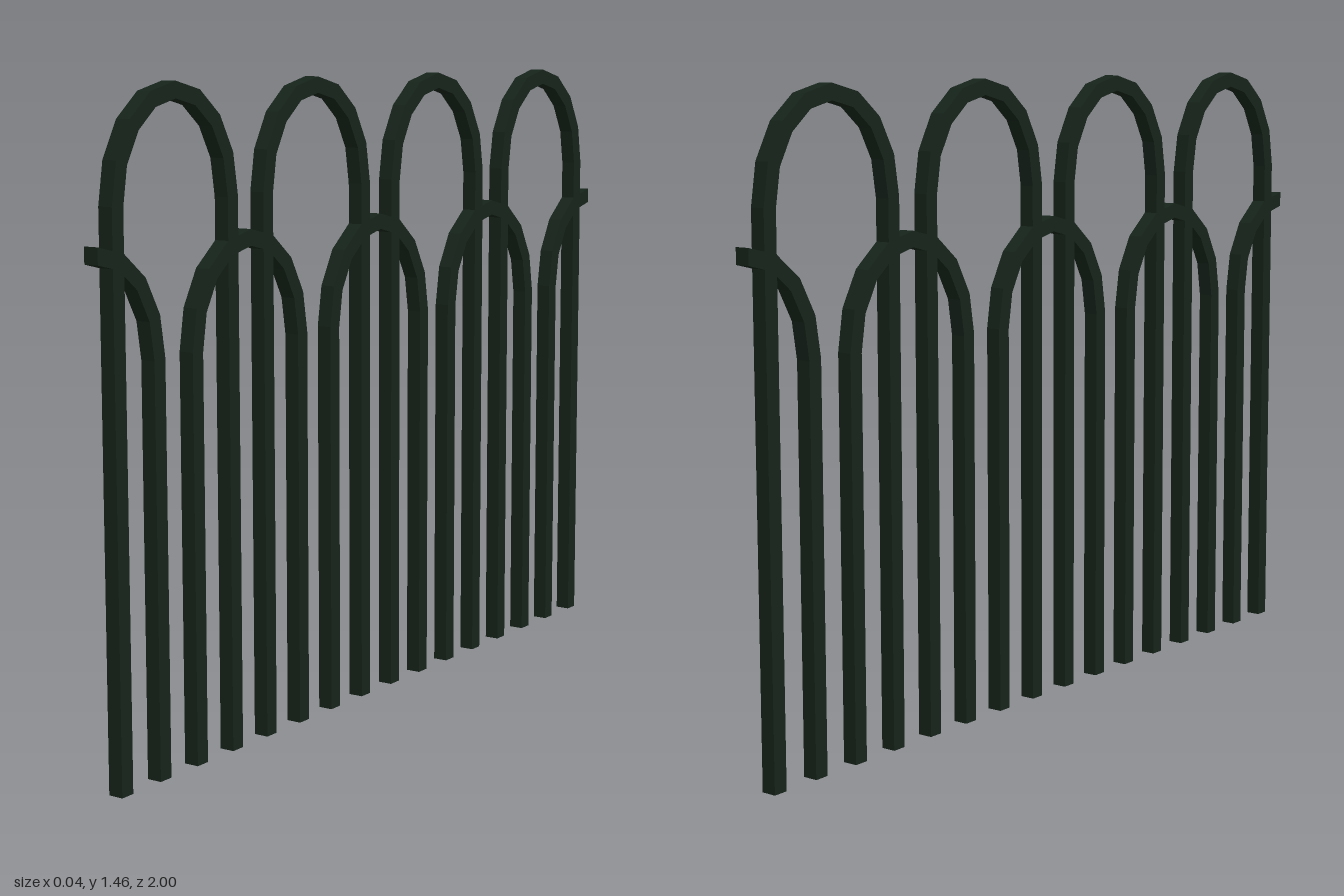
import * as THREE from 'three';

const BAR = 0.035;      // square bar thickness
const RADIUS = 0.1875;  // half width of a hoop
const RISE = 0.2275;    // height of the curved top
const SEGMENTS = 8;

// Hoop centre line: leg, faceted elliptical top, leg
function hoopPath(spring) {
  const pts = [new THREE.Vector2(RADIUS, 0)];
  for (let i = 0; i <= SEGMENTS; i++) {
    const a = (Math.PI * i) / SEGMENTS;
    pts.push(new THREE.Vector2(RADIUS * Math.cos(a), spring + RISE * Math.sin(a)));
  }
  pts.push(new THREE.Vector2(-RADIUS, 0));
  return pts;
}

// Flat hoop with mitred corners, extruded to a square bar; half stops at the peak
function hoopGeometry(spring, half) {
  const path = hoopPath(spring);
  const outer = [], inner = [];
  path.forEach((p, i) => {
    const prev = path[Math.max(i - 1, 0)];
    const next = path[Math.min(i + 1, path.length - 1)];
    const d0 = (i > 0 ? p.clone().sub(prev) : next.clone().sub(p)).normalize();
    const d1 = (i < path.length - 1 ? next.clone().sub(p) : d0.clone()).normalize();
    const t = d0.clone().add(d1).normalize();
    const offset = new THREE.Vector2(t.y, -t.x).multiplyScalar(BAR / 2 / t.dot(d0));
    outer.push(p.clone().add(offset));
    inner.push(p.clone().sub(offset));
  });
  const count = half ? SEGMENTS / 2 + 2 : path.length;
  const outline = [...outer.slice(0, count), ...inner.slice(0, count).reverse()];
  const geometry = new THREE.ExtrudeGeometry(new THREE.Shape(outline), { depth: BAR, bevelEnabled: false });
  geometry.translate(0, 0, -BAR / 2);
  geometry.rotateY(-Math.PI / 2); // the fence runs along z
  return geometry;
}

export function createModel() {
  const group = new THREE.Group();
  group.name = 'hoopFence';
  const paint = new THREE.MeshStandardMaterial({ color: 0x16241a, flatShading: true });

  const add = (name, geometry, z, turn = 0) => {
    const mesh = new THREE.Mesh(geometry, paint);
    mesh.name = name;
    mesh.position.z = z;
    mesh.rotation.y = turn;
    group.add(mesh);
  };

  // Tall hoops
  const tall = hoopGeometry(1.215, false);
  for (let i = 0; i < 4; i++) add('tallHoop', tall, -0.75 + i * 0.5);

  // Low hoops, interlaced between the tall ones
  const low = hoopGeometry(0.895, false);
  for (let i = 0; i < 3; i++) add('lowHoop', low, -0.5 + i * 0.5);

  // Half hoops at both ends
  const halfLow = hoopGeometry(0.895, true);
  add('endHalfHoop', halfLow, -1);
  add('endHalfHoop', halfLow, 1, Math.PI);

  return group;
}
